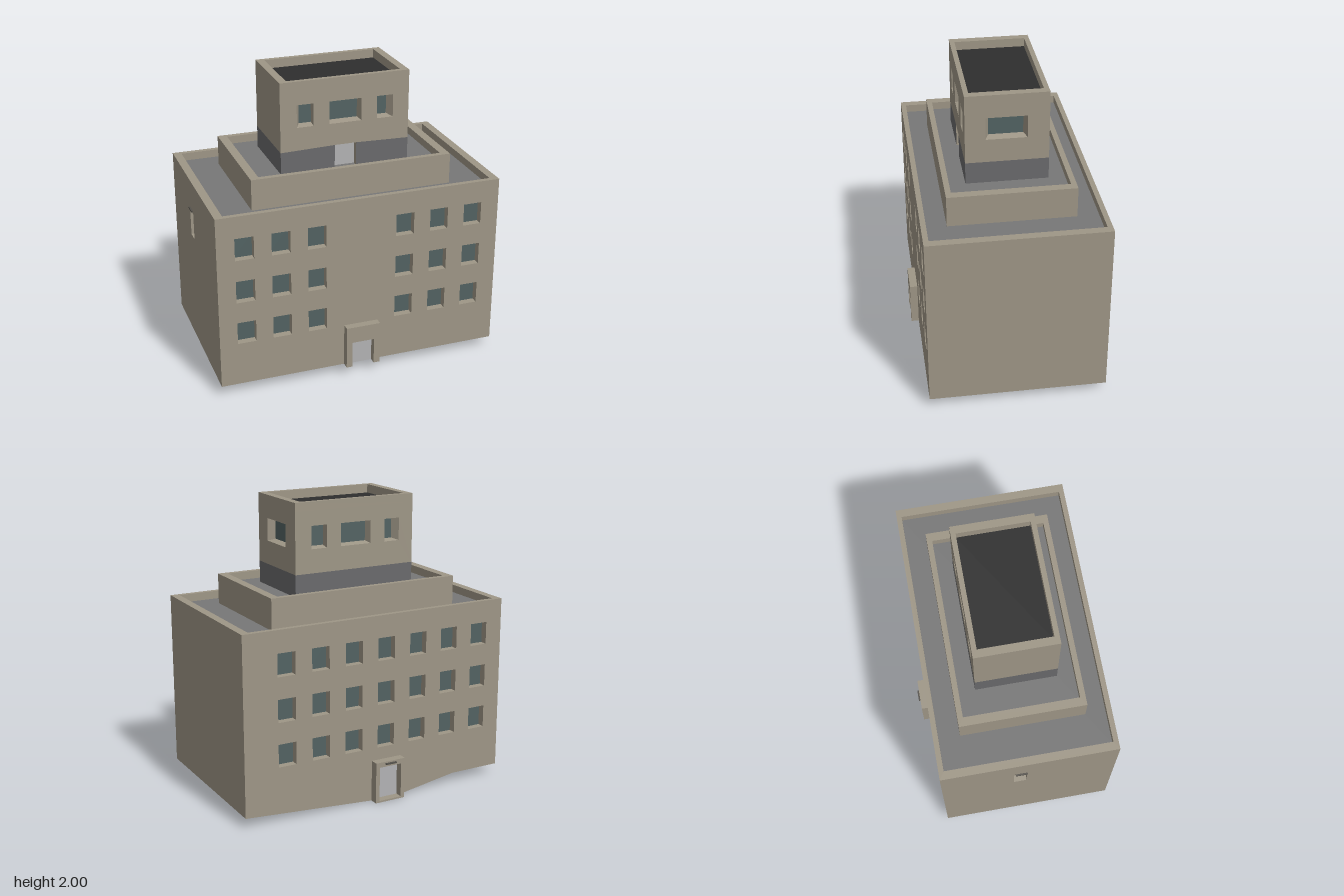
import * as THREE from 'three';

const mat = (color, side = THREE.FrontSide) => new THREE.MeshStandardMaterial({ color, side, flatShading: true });
const WALL = mat(0x9e9686), GLASS = mat(0x526262), DOOR = mat(0xb2b2b4);
const BAND = mat(0x6a6a6c), ROOF = mat(0x777777), TAR = mat(0x2e2e2e), LAMP = mat(0x55524c);

// Extents of the three stacked blocks: [x0, x1, z0, z1]
const BODY = [-0.97, 0.98, -0.588, 0.597];
const TIER = [-0.685, 0.692, -0.411, 0.427];
const TOWER = [-0.44, 0.445, -0.265, 0.277];

const toPath = (Type, pts) => new Type(pts.map(p => new THREE.Vector2(...p)));
const rect = (u0, u1, v0, v1) => [[u0, v0], [u1, v0], [u1, v1], [u0, v1]];

function add(parent, name, geometry, material) {
  const mesh = new THREE.Mesh(geometry, material);
  mesh.name = name;
  parent.add(mesh);
  return mesh;
}

// Flat quads, corners counter-clockwise as seen from outside
function quads(list) {
  const pos = list.flatMap(([a, b, c, d]) => [a, b, c, a, c, d].flat());
  const g = new THREE.BufferGeometry();
  g.setAttribute('position', new THREE.Float32BufferAttribute(pos, 3));
  g.computeVertexNormals();
  return g;
}

// Group standing on one side of a block: local x runs right, local z points out
function side(parent, name, [x0, x1, z0, z1], dir) {
  const g = new THREE.Group();
  g.name = name;
  if (dir === 'front') g.position.z = z1;
  if (dir === 'back') { g.position.z = z0; g.rotation.y = Math.PI; }
  if (dir === 'left') { g.position.x = x1; g.rotation.y = Math.PI / 2; }
  if (dir === 'right') { g.position.x = x0; g.rotation.y = -Math.PI / 2; }
  parent.add(g);
  return g;
}

// Wall sheet with recessed openings; each has an outer and an inner (pane) rectangle
function wall(g, outline, openings = [], material = WALL, pane = GLASS, depth = 0.05) {
  const shape = toPath(THREE.Shape, outline);
  shape.holes = openings.map(o => toPath(THREE.Path, rect(...o.outer)));
  add(g, 'wall', new THREE.ShapeGeometry(shape), material);
  if (openings.length) recess(g, openings, pane, depth);
}

function recess(g, openings, pane, depth) {
  const reveals = [], panes = [];
  for (const { outer, inner = outer } of openings) {
    const a = rect(...outer).map(p => [...p, 0]);
    const b = rect(...inner).map(p => [...p, -depth]);
    for (let i = 0; i < 4; i++) {
      const j = (i + 1) % 4;
      reveals.push([a[i], a[j], b[j], b[i]]);
    }
    panes.push(b);
  }
  add(g, 'reveals', quads(reveals), WALL);
  add(g, 'panes', quads(panes), pane);
}

// Parapet ring with a sunken roof deck
function parapet(parent, name, [x0, x1, z0, z1], t, floor, top, deckMat) {
  const ring = toPath(THREE.Shape, rect(x0, x1, -z1, -z0));
  ring.holes.push(toPath(THREE.Path, rect(x0 + t, x1 - t, -z1 + t * 0.62, -z0 - t * 0.62)));
  const g = new THREE.ExtrudeGeometry(ring, { depth: top - floor, bevelEnabled: false });
  g.rotateX(-Math.PI / 2).translate(0, floor, 0);
  add(parent, name + 'Parapet', g, WALL);
  const deck = new THREE.PlaneGeometry(x1 - x0, z1 - z0).rotateX(-Math.PI / 2);
  deck.translate((x0 + x1) / 2, floor + 0.001, (z0 + z1) / 2);
  add(parent, name + 'Deck', deck, deckMat);
}

// Door surround: a frame projecting from the wall, with the door set back in it
function portal(g, [u0, u1, v0, v1], [a, b, c], depth) {
  const frame = toPath(THREE.Shape, [[u0, v0], [a, v0], [a, c], [b, c], [b, v0], [u1, v0], [u1, v1], [u0, v1]]);
  add(g, 'doorSurround', new THREE.ExtrudeGeometry(frame, { depth, bevelEnabled: false }), WALL);
  const door = add(g, 'door', new THREE.PlaneGeometry(b - a, c - v0), DOOR);
  door.position.set((a + b) / 2, (v0 + c) / 2, 0.004);
}

function lamp(g, u, v, out) {
  add(g, 'lamp', new THREE.BoxGeometry(0.08, 0.01, 0.012), LAMP).position.set(u, v, out + 0.006);
}

function windowGrid(centres) {
  return [0.372, 0.672, 0.974].flatMap(v => centres.map(u => ({ outer: [u - 0.063, u + 0.063, v, v + 0.154] })));
}

function createModel() {
  const model = new THREE.Group();
  model.name = 'building';

  // Main block
  const [bx0, bx1, bz0, bz1] = BODY, base = 0.07, eave = 1.225;
  const front = side(model, 'frontFacade', BODY, 'front');
  wall(front, rect(bx0, bx1, base, eave), windowGrid([-0.787, -0.545, -0.302, 0.308, 0.55, 0.793]));
  portal(front, [-0.115, 0.122, base, 0.37], [-0.075, 0.08, 0.255], 0.052);

  const back = side(model, 'backFacade', BODY, 'back');
  wall(back, [[-bx1, base], [-0.05, 0], [0.17, 0], [0.6, base], [-bx0, base], [-bx0, eave], [-bx1, eave]],
    windowGrid([0, 1, 2, 3, 4, 5, 6].map(i => -0.678 + i * 0.244)));
  portal(back, [-0.052, 0.17, 0, 0.285], [-0.024, 0.142, 0.25], 0.058);
  add(back, 'doorSill', new THREE.BoxGeometry(0.166, 0.012, 0.058), WALL).position.set(0.059, 0.006, 0.029);
  lamp(back, 0.06, 0.27, 0.058);

  wall(side(model, 'leftWall', BODY, 'left'), rect(-bz1, -bz0, base, eave));
  const right = side(model, 'rightWall', BODY, 'right');
  wall(right, rect(bz0, bz1, base, eave), [{ outer: [-0.1, -0.012, 0.87, 1.055] }], WALL, DOOR);
  lamp(right, -0.05, 1.075, 0);

  // Sloping underside, falling toward the back door
  const backEdge = [[bx0, base], [-0.6, base], [-0.17, 0], [0.05, 0], [bx1, base]];
  const frontEdge = [bx0, -0.6, -0.075, 0.08, bx1];
  add(model, 'underside', quads([0, 1, 2, 3].map(i => [
    [...backEdge[i], bz0], [...backEdge[i + 1], bz0], [frontEdge[i + 1], base, bz1], [frontEdge[i], base, bz1]])), WALL);
  parapet(model, 'mainRoof', BODY, 0.056, eave, 1.28, ROOF);

  // Middle tier
  const [tx0, tx1, tz0, tz1] = TIER, tierDeck = 1.38;
  for (const [dir, u0, u1] of [['front', tx0, tx1], ['back', -tx1, -tx0], ['left', -tz1, -tz0], ['right', tz0, tz1]])
    wall(side(model, dir + 'TierWall', TIER, dir), rect(u0, u1, eave, tierDeck));
  parapet(model, 'tier', TIER, 0.059, tierDeck, 1.435, ROOF);

  // Tower with splayed windows above a grey band
  const [wx0, wx1, wz0, wz1] = TOWER, top = 1.94, band = 1.53, lo = 1.69, hi = 1.843;
  const trio = [
    { outer: [-0.328, -0.215, lo, hi], inner: [-0.3, -0.217, lo + 0.012, hi - 0.01] },
    { outer: [-0.108, 0.115, lo, hi], inner: [-0.092, 0.1, lo + 0.012, hi - 0.01] },
    { outer: [0.222, 0.335, lo, hi], inner: [0.224, 0.305, lo + 0.012, hi - 0.01] },
  ];
  const tf = side(model, 'towerFront', TOWER, 'front');
  wall(tf, [[wx0, band], [-0.07, 1.54], [0.08, 1.54], [wx1, band], [wx1, top], [wx0, top]], trio);
  wall(tf, [[wx0, tierDeck], [-0.07, tierDeck], [-0.07, 1.54], [wx0, band]], [], BAND);
  wall(tf, [[0.08, tierDeck], [wx1, tierDeck], [wx1, band], [0.08, 1.54]], [], BAND);
  recess(tf, [{ outer: [-0.07, 0.08, tierDeck, 1.54] }], DOOR, 0.04);

  const sideWindow = z => [{ outer: [z - 0.135, z + 0.135, lo, hi], inner: [z - 0.113, z + 0.113, lo + 0.012, hi - 0.01] }];
  const others = [['back', -wx1, -wx0, trio], ['left', -wz1, -wz0, sideWindow(-0.01)], ['right', wz0, wz1, []]];
  for (const [dir, u0, u1, openings] of others) {
    const g = side(model, dir + 'TowerWall', TOWER, dir);
    wall(g, rect(u0, u1, band, top), openings);
    wall(g, rect(u0, u1, tierDeck, band), [], BAND);
  }
  parapet(model, 'tower', TOWER, 0.053, top, 2, TAR);

  return model;
}

export { createModel };
